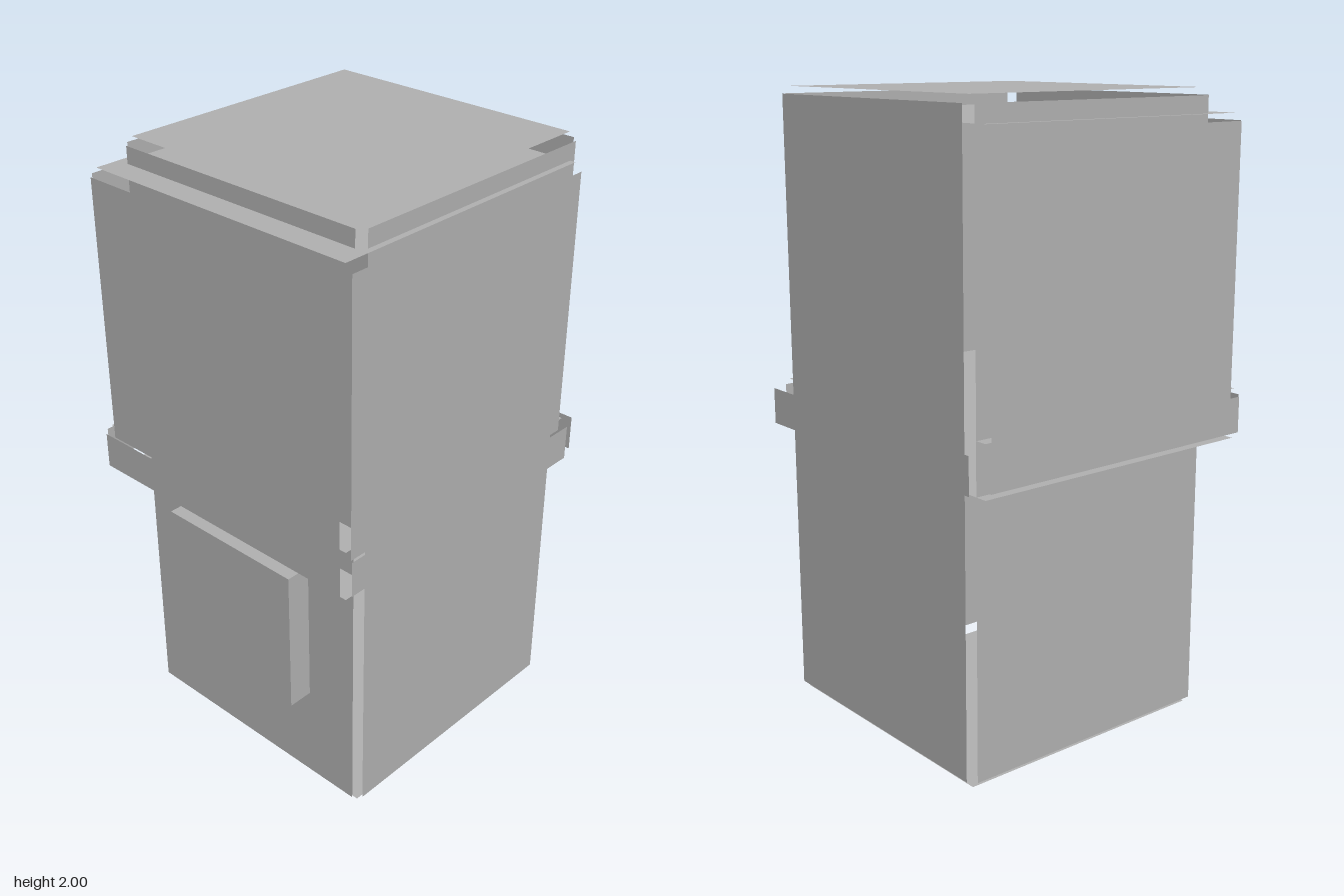
import * as THREE from 'three';

const GAP = 0.023; // every panel floats slightly outside its box

export function createModel() {
  const model = new THREE.Group();
  const grey = new THREE.MeshStandardMaterial({ color: 0xb2b2b2, side: THREE.DoubleSide });
  grey.name = 'grey';

  // Thin panel facing a direction, centred at a point
  function panel(parent, name, w, h, pos, rot) {
    const mesh = new THREE.Mesh(new THREE.PlaneGeometry(w, h), grey);
    mesh.name = name;
    mesh.position.set(...pos);
    mesh.rotation.set(...rot);
    parent.add(mesh);
  }

  // Box shell made of separate panels with open seams
  function shell(name, halfX, y0, y1, z0, z1, sides, backZ = z0 - GAP) {
    const group = new THREE.Group();
    group.name = name;
    const w = halfX * 2, h = y1 - y0, d = z1 - z0;
    const cy = (y0 + y1) / 2, cz = (z0 + z1) / 2, q = Math.PI / 2;
    const specs = {
      front: [w, h, [0, cy, z1 + GAP], [0, 0, 0]],
      back: [w, h, [0, cy, backZ], [0, Math.PI, 0]],
      left: [d, h, [halfX + GAP, cy, cz], [0, q, 0]],
      right: [d, h, [-halfX - GAP, cy, cz], [0, -q, 0]],
      top: [w, d, [0, y1 + GAP, cz], [-q, 0, 0]],
      bottom: [w, d, [0, y0 - GAP, cz], [q, 0, 0]],
    };
    for (const side of sides) panel(group, side + 'Panel', ...specs[side]);
    model.add(group);
  }

  const around = ['front', 'left', 'right'];
  // Tall inner body
  shell('body', 0.447, GAP, 2 - GAP, -0.488, 0.406, [...around, 'back', 'top', 'bottom']);
  // Outer cover around the upper half, open at the back
  shell('upperCover', 0.489, 1.03, 1.9, -0.467, 0.51, [...around, 'top']);
  // Band around the middle
  shell('middleBand', 0.509, 0.925, 1.042, -0.487, 0.528, [...around, 'back', 'top', 'bottom'], -0.545);

  // Square block on the lower front
  const block = new THREE.Mesh(new THREE.BoxGeometry(0.525, 0.49, 0.106), grey);
  block.name = 'frontBlock';
  block.position.set(0, 0.595, 0.459);
  model.add(block);

  return model;
}
